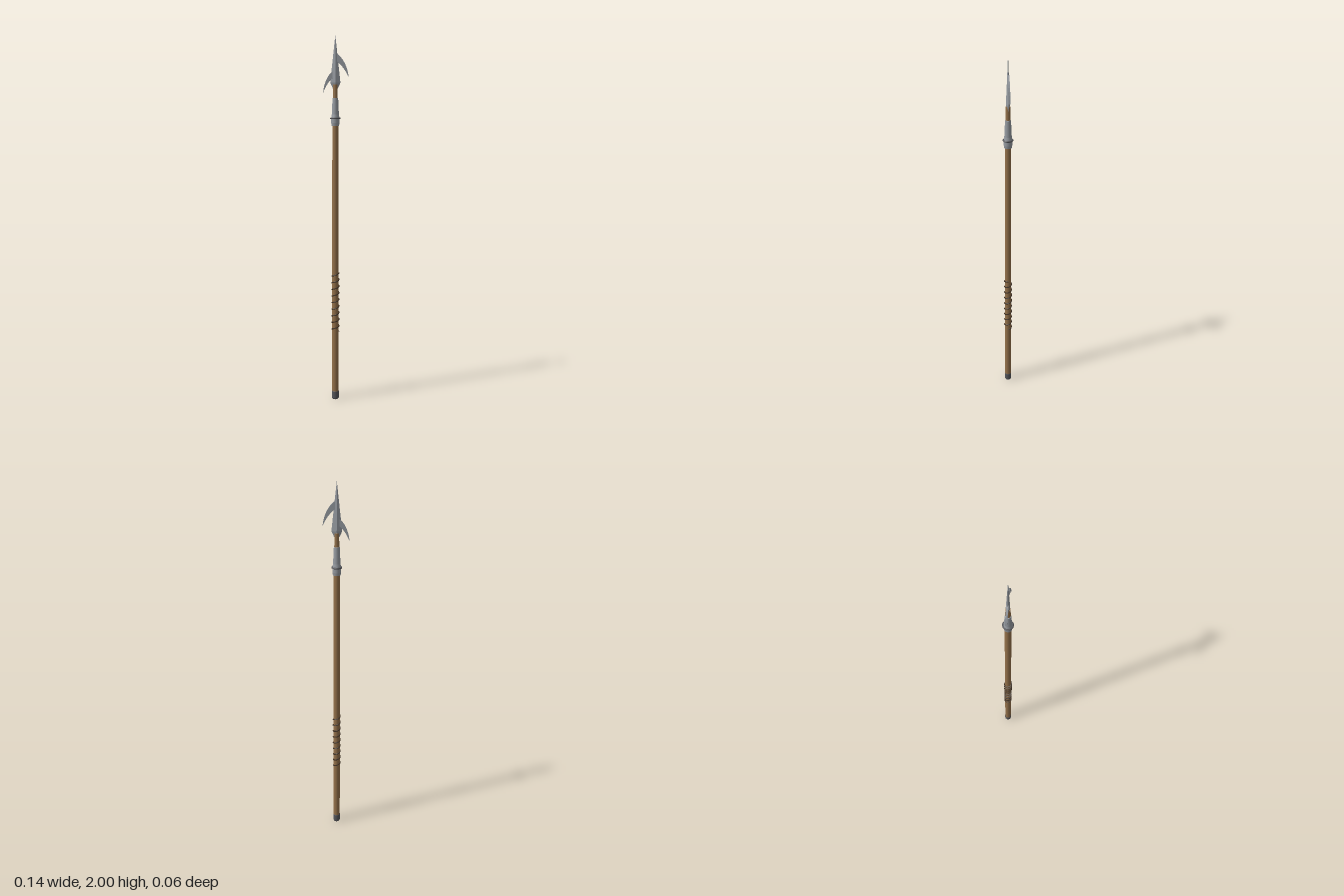
import * as THREE from 'three';

const v2 = (p) => new THREE.Vector2(p[0], p[1]);
const material = (color, extra = {}) => new THREE.MeshStandardMaterial({ color, ...extra });

export function createModel() {
  const model = new THREE.Group();
  model.name = 'harpoon';
  const wood = material(0x94714a);
  const steel = material(0x969ba1);
  const blade = material(0x969ba1, { flatShading: true });
  const iron = material(0x55565a);
  const cord = material(0x3d2e20);

  const add = (name, geometry, mat) => {
    const mesh = new THREE.Mesh(geometry, mat);
    mesh.name = name;
    model.add(mesh);
    return mesh;
  };
  // Turned part with crisp edges: one band per profile segment
  const turned = (name, profile, mat) => {
    const part = new THREE.Group();
    part.name = name;
    for (let i = 0; i < profile.length - 1; i++) {
      const band = new THREE.LatheGeometry([v2(profile[i]), v2(profile[i + 1])], 16);
      part.add(new THREE.Mesh(band, mat));
    }
    model.add(part);
  };

  // Wooden shaft with a slight taper, and the short neck under the head
  turned('shaft', [[0, 0.03], [0.0185, 0.03], [0.018, 0.8], [0.016, 1.56], [0, 1.56]], wood);
  turned('neck', [[0, 1.65], [0.013, 1.65], [0.012, 1.745], [0, 1.745]], wood);

  // Metal butt cap
  turned('buttCap', [[0, 0], [0.016, 0], [0.0195, 0.006], [0.0195, 0.045], [0.018, 0.048]], iron);

  // Socket joining shaft and neck, with its collar ring
  turned('socket', [[0.015, 1.53], [0.02, 1.53], [0.022, 1.545], [0.022, 1.572],
    [0.019, 1.59], [0.015, 1.675], [0.012, 1.677]], steel);
  const ring = add('collarRing', new THREE.TorusGeometry(0.0235, 0.0045, 8, 24), iron);
  ring.rotation.x = Math.PI / 2;
  ring.position.y = 1.57;

  // Cord wound around the grip
  const turns = 9;
  const coil = [];
  for (let i = 0; i <= turns * 12; i++) {
    const a = Math.PI / 2 + (i / 12) * Math.PI * 2;
    coil.push(new THREE.Vector3(0.0195 * Math.sin(a), 0.39 + (0.34 * i) / (turns * 12), 0.0195 * Math.cos(a)));
  }
  add('gripCord', new THREE.TubeGeometry(new THREE.CatmullRomCurve3(coil), turns * 20, 0.0035, 6), cord);

  // Spear head: diamond section, ridged down the middle
  const head = [[0, 1.725], [0.013, 1.725], [0.027, 1.755], [0.021, 1.81], [0.011, 1.9], [0, 2]].map(v2);
  add('spearHead', new THREE.LatheGeometry(head, 4), blade).scale.z = 0.38;

  // Swept barbs: right and left sit at different heights
  const barb = (name, side, x, y, dx, dy) => {
    const s = new THREE.Shape();
    s.moveTo(0, 0);
    s.quadraticCurveTo(dx * 0.85, -dy * 0.32, dx, -dy);
    s.quadraticCurveTo(dx * 0.62, -dy * 0.55, 0, -dy * 0.32);
    s.closePath();
    const g = new THREE.ExtrudeGeometry(s, { depth: 0.01, bevelEnabled: false, curveSegments: 8 });
    g.translate(0, 0, -0.005);
    const mesh = add(name, g, blade);
    // A half turn mirrors the symmetric slab
    if (side < 0) mesh.rotation.y = Math.PI;
    mesh.position.set(side * x, y, 0);
  };
  barb('leftBarb', 1, 0.008, 1.905, 0.063, 0.125);
  barb('rightBarb', -1, 0.014, 1.815, 0.05, 0.11);

  // The shaft axis sits slightly off centre so the barbs balance
  model.position.x = -0.004;
  const root = new THREE.Group();
  root.name = 'harpoonRoot';
  root.add(model);
  return root;
}
